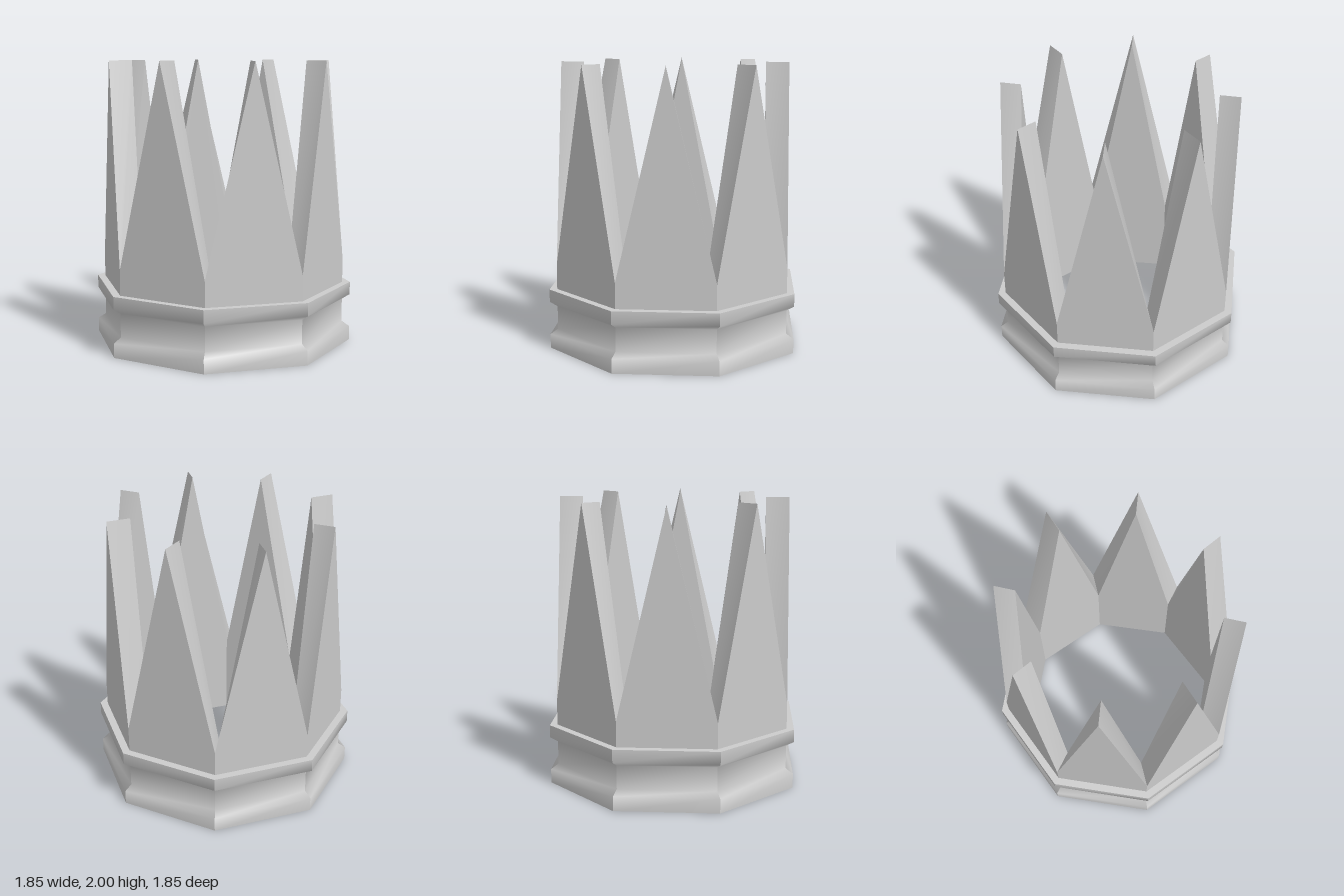
import * as THREE from 'three';
import { mergeGeometries } from 'three/addons/utils/BufferGeometryUtils.js';

const SIDES = 8;
const BAND = 0.925, WALL = 0.87, INNER_X = 0.69, INNER_Z = 0.72;
const VALLEY = 0.6, TIP = 2, LEDGE = 0.425;

// Corner i of an octagon; half values give the middle of a side
function corner(i, y, rx, rz = rx) {
  const at = (k) => {
    const a = (k * Math.PI * 2) / SIDES;
    return new THREE.Vector3(rx * Math.cos(a), y, rz * Math.sin(a));
  };
  return at(Math.floor(i)).lerp(at(Math.ceil(i)), 0.5);
}
const outer = (i, y) => corner(i, y, WALL);
const inner = (i, y) => corner(i, y, INNER_X, INNER_Z);

// Flat convex face, corners counter-clockwise from its front
function face(...points) {
  const g = new THREE.BufferGeometry().setFromPoints(points);
  const index = [];
  for (let k = 1; k < points.length - 1; k++) index.push(0, k, k + 1);
  g.setIndex(index);
  g.computeVertexNormals();
  return g;
}

// One side of a profile, smooth vertically, hard at the corners
function panel(i, profile) {
  const points = [], index = [];
  profile.forEach(([r, y], k) => {
    points.push(corner(i + 1, y, r), corner(i, y, r));
    if (k) {
      const n = 2 * k;
      index.push(n - 2, n - 1, n + 1, n - 2, n + 1, n);
    }
  });
  const g = new THREE.BufferGeometry().setFromPoints(points);
  g.setIndex(index);
  g.computeVertexNormals();
  return g;
}

export function createModel() {
  const crown = new THREE.Group();
  crown.name = 'crown';
  const material = new THREE.MeshStandardMaterial({ color: 0xcccccc });
  const add = (name, geometries) => {
    const mesh = new THREE.Mesh(mergeGeometries(geometries), material);
    mesh.name = name;
    crown.add(mesh);
  };

  // Grooved band around the foot
  const profile = [[BAND, 0], [BAND, 0.1], [WALL, 0.135], [WALL, 0.3], [BAND, 0.335], [BAND, LEDGE]];
  const band = [], ledge = [], base = [];
  for (let i = 0; i < SIDES; i++) {
    const j = i + 1;
    band.push(panel(i, profile));
    ledge.push(face(corner(j, LEDGE, BAND), corner(i, LEDGE, BAND), outer(i, LEDGE), outer(j, LEDGE)));
    base.push(face(corner(i, 0, BAND), corner(j, 0, BAND), inner(j, 0), inner(i, 0)));
  }
  add('band', band);
  add('bandLedge', ledge);
  add('baseRing', base);

  // One pointed wall per side: outside, inside and two sloping flanks
  for (let i = 0; i < SIDES; i++) {
    const j = i + 1, m = i + 0.5;
    add('spike' + j, [
      face(outer(m, TIP), outer(j, VALLEY), outer(j, LEDGE), outer(i, LEDGE), outer(i, VALLEY)),
      face(inner(m, TIP), inner(i, VALLEY), inner(i, 0), inner(j, 0), inner(j, VALLEY)),
      face(outer(i, VALLEY), inner(i, VALLEY), inner(m, TIP), outer(m, TIP)),
      face(inner(j, VALLEY), outer(j, VALLEY), outer(m, TIP), inner(m, TIP)),
    ]);
  }
  return crown;
}
